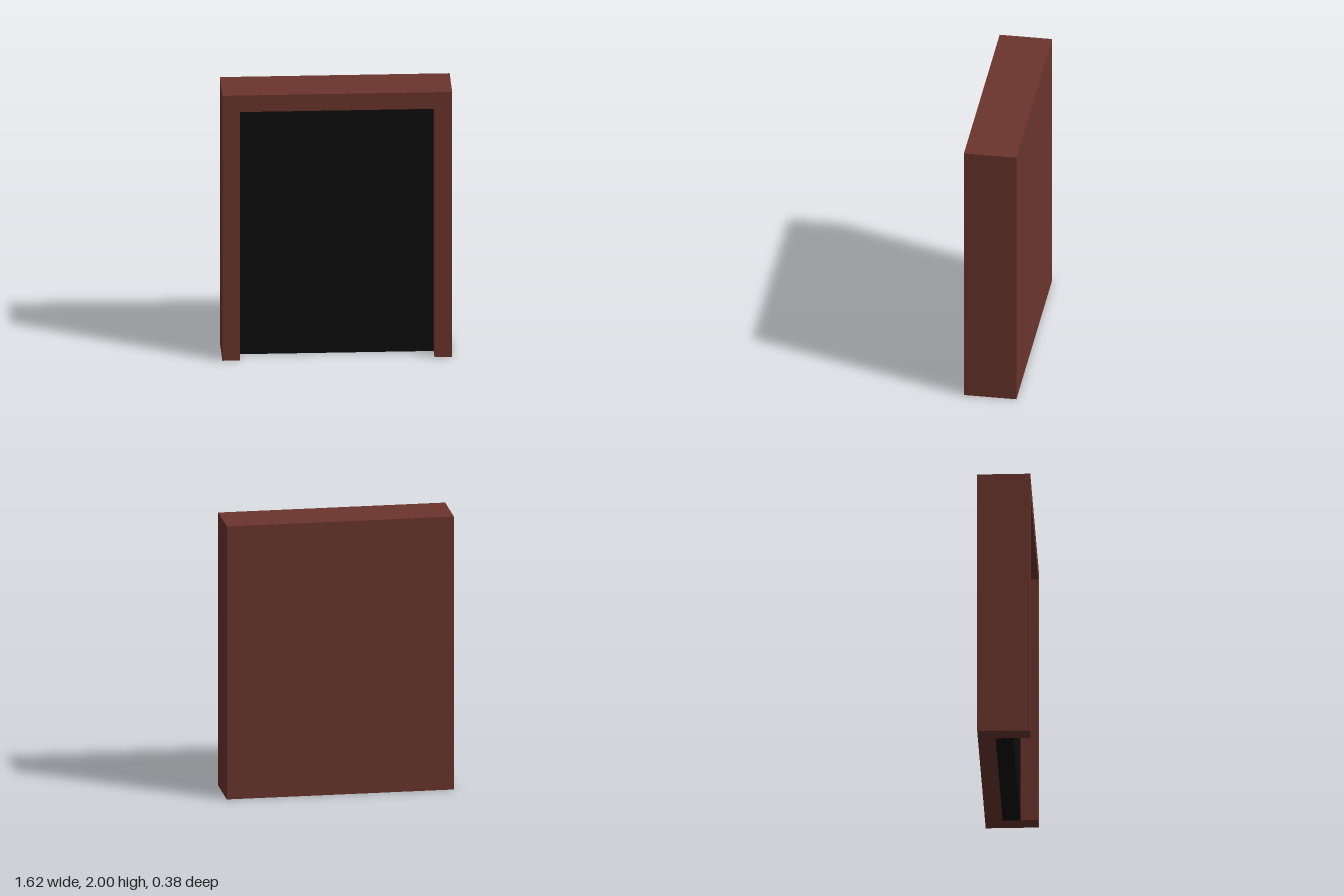
import * as THREE from 'three';

const W = 1.625, H = 2, D = 0.375; // overall size
const T = 0.125;                   // thickness of jambs, lintel, back wall and panel

export function createModel() {
  const model = new THREE.Group();
  model.name = 'doorway';
  const wood = new THREE.MeshStandardMaterial({ name: 'red brown wood', color: 0x6b352d });
  const black = new THREE.MeshStandardMaterial({ name: 'black', color: 0x0d0d0d });

  const add = (name, geometry, material, x, y, z) => {
    const mesh = new THREE.Mesh(geometry, material);
    mesh.name = name;
    mesh.position.set(x, y, z);
    model.add(mesh);
  };

  // Surround: two jambs and a lintel as one arch-shaped outline, open at the floor
  const x = W / 2, xi = x - T;
  const outline = new THREE.Shape([
    [-x, 0], [-xi, 0], [-xi, H - T], [xi, H - T], [xi, 0], [x, 0], [x, H], [-x, H],
  ].map(([px, py]) => new THREE.Vector2(px, py)));
  const surround = new THREE.ExtrudeGeometry(outline, { depth: D - T, bevelEnabled: false });
  add('surround', surround, wood, 0, 0, -D / 2 + T);

  // Back wall closing the frame
  add('backWall', new THREE.BoxGeometry(W, H, T), wood, 0, H / 2, -D / 2 + T / 2);

  // Dark panel set back inside the opening
  add('darkPanel', new THREE.BoxGeometry(W - 2 * T, H - T, T), black, 0, (H - T) / 2, 0);

  return model;
}
